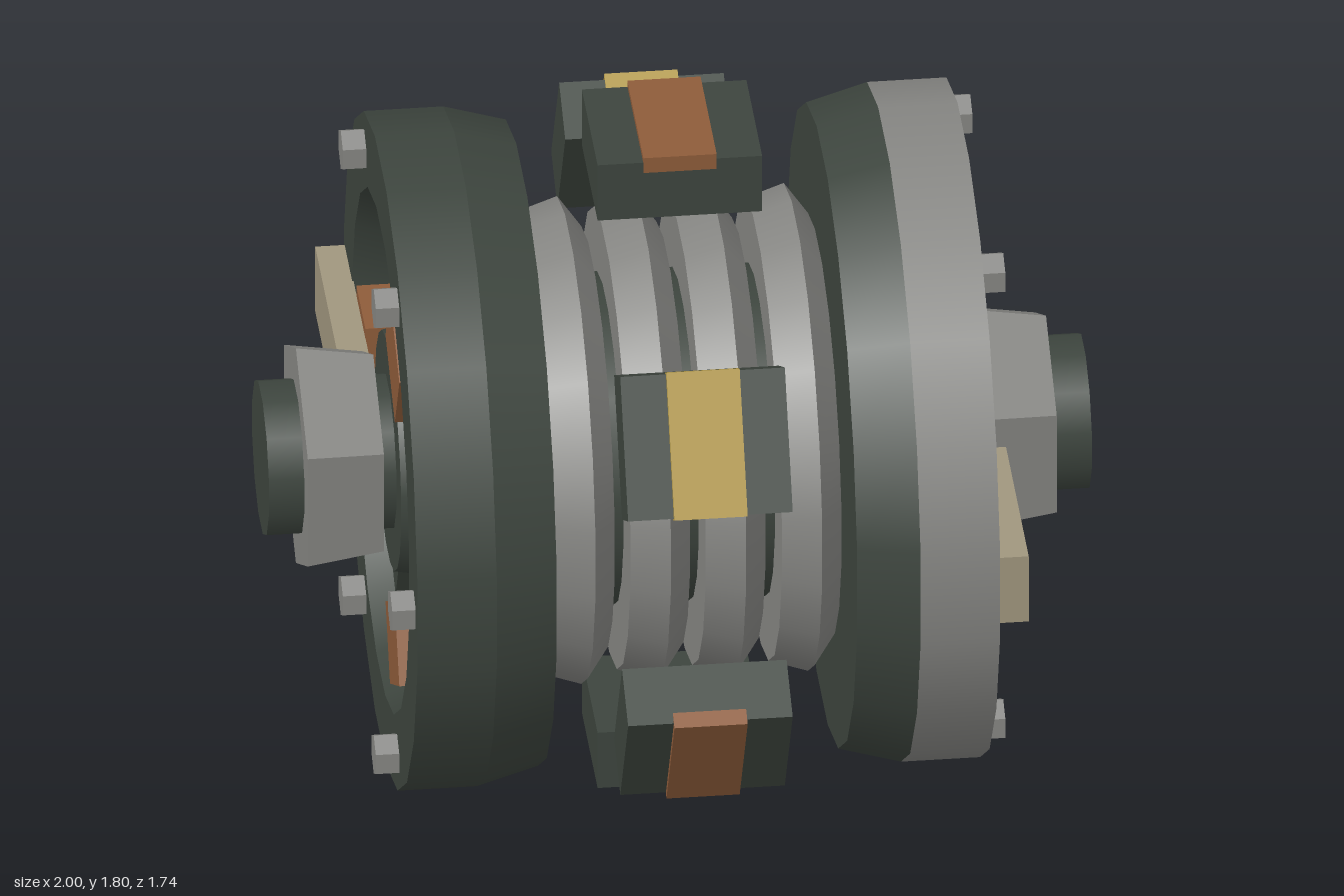
import * as THREE from 'three';
import { mergeGeometries } from 'three/addons/utils/BufferGeometryUtils.js';

const CENTER_Y = 0.9;
const paint = (name, color) => {
  const m = new THREE.MeshStandardMaterial({ color });
  m.name = name;
  return m;
};

export function createModel() {
  const dark = paint('dark green iron', 0x3d453e);
  const steel = paint('grey steel', 0x868683);
  const copper = paint('copper', 0x8e5c3a);
  const brass = paint('brass', 0xb09645);
  const bone = paint('pale beige', 0xa0967e);

  const model = new THREE.Group();
  model.name = 'spool';
  model.position.y = CENTER_Y;

  const add = (parent, name, geometry, material) => {
    const mesh = new THREE.Mesh(geometry, material);
    mesh.name = name;
    parent.add(mesh);
    return mesh;
  };

  // Turned part along x: [x, flat radius] points, one sharp-edged band and material per segment
  const turned = (parent, name, points, materials, sides = 20) => {
    const k = 1 / Math.cos(Math.PI / sides);
    const bands = points.slice(1).map((p, i) => new THREE.LatheGeometry(
      [points[i], p].map(([x, r]) => new THREE.Vector2(r * k, x)), sides, Math.PI / sides));
    const geometry = mergeGeometries(bands, true).rotateZ(-Math.PI / 2);
    return add(parent, name, geometry, bands.map((_, i) => materials[i] || materials[0]));
  };

  // Faceted hexagonal prism along x, with a corner pointing up
  const hexagon = (rOuter, rInner, length) => {
    const g = new THREE.CylinderGeometry(rOuter, rInner, length, 6, 1, false, Math.PI / 6)
      .rotateZ(-Math.PI / 2).toNonIndexed();
    g.computeVertexNormals();
    return g;
  };

  // Box placed at a radius and turned about the x axis (0 = up, 90 = +z)
  const radialBox = (parent, name, size, x, radius, degrees, material) => {
    const g = new THREE.BoxGeometry(...size).translate(x, radius, 0)
      .rotateX(THREE.MathUtils.degToRad(degrees));
    return add(parent, name, g, material);
  };

  // Axle and core drum
  turned(model, 'axle', [[-1, 0], [-1, 0.186], [1, 0.186], [1, 0]], [dark], 12);
  turned(model, 'core', [[-0.4, 0.4], [0.4, 0.4]], [dark]);

  // Cooling fins, all leaning the same way
  for (const x of [-0.275, -0.092, 0.091, 0.276]) {
    const fin = turned(model, 'fin',
      [[-0.07, 0.38], [-0.07, 0.555], [0.025, 0.585], [0.08, 0.51], [0.08, 0.38]], [steel]);
    fin.position.x = x;
  }

  // Outer blocks with alternating copper and brass inlays
  for (let i = 0; i < 6; i++) {
    const block = new THREE.Group();
    block.name = 'outerBlock';
    model.add(block);
    radialBox(block, 'blockBody', [0.4, 0.157, 0.35], 0, 0.8065, i * 60, dark);
    radialBox(block, 'blockInlay', [0.178, 0.042, 0.358], 0, 0.879, i * 60, i % 2 ? brass : copper);
  }

  // Wheel facing +x; the left one is turned half way round
  const makeWheel = (name, tread, floor) => {
    const wheel = new THREE.Group();
    wheel.name = name;
    model.add(wheel);
    // Rim: back, taper, tread, face, sloped recess wall, recess floor
    turned(wheel, 'rim',
      [[0.365, 0.35], [0.365, 0.775], [0.515, 0.815], [0.708, 0.815], [0.708, 0.633], [0.55, 0.576], [0.55, 0.25]],
      [dark, dark, tread, dark, dark, floor]);
    turned(wheel, 'hub', [[0.54, 0.315], [0.69, 0.29], [0.69, 0.15]], [dark]);
    for (const a of [30, 150, 270]) {
      radialBox(wheel, 'spoke', [0.11, 0.34, 0.14], 0.59, 0.44, a, dark);
      radialBox(wheel, 'copperLug', [0.17, 0.2, 0.24], 0.62, 0.467, a + 60, copper);
    }
    for (let i = 0; i < 6; i++) {
      const a = Math.PI / 6 + i * Math.PI / 3;
      const bolt = add(wheel, 'bolt', hexagon(0.054, 0.054, 0.07), steel);
      bolt.position.set(0.73, 0.732 * Math.cos(a), 0.732 * Math.sin(a));
    }
    radialBox(wheel, 'handle', [0.075, 0.505, 0.185], 0.742, 0.547, 90, bone);
    return wheel;
  };
  makeWheel('leftWheel', steel, dark);
  makeWheel('rightWheel', dark, steel).rotation.y = Math.PI;

  // Axle nuts, both tapering toward +x
  for (const x of [-0.82, 0.815]) {
    const nut = add(model, 'axleNut', hexagon(0.275, 0.305, 0.188), steel);
    nut.position.x = x;
  }

  const group = new THREE.Group();
  group.name = 'model';
  group.add(model);
  return group;
}
